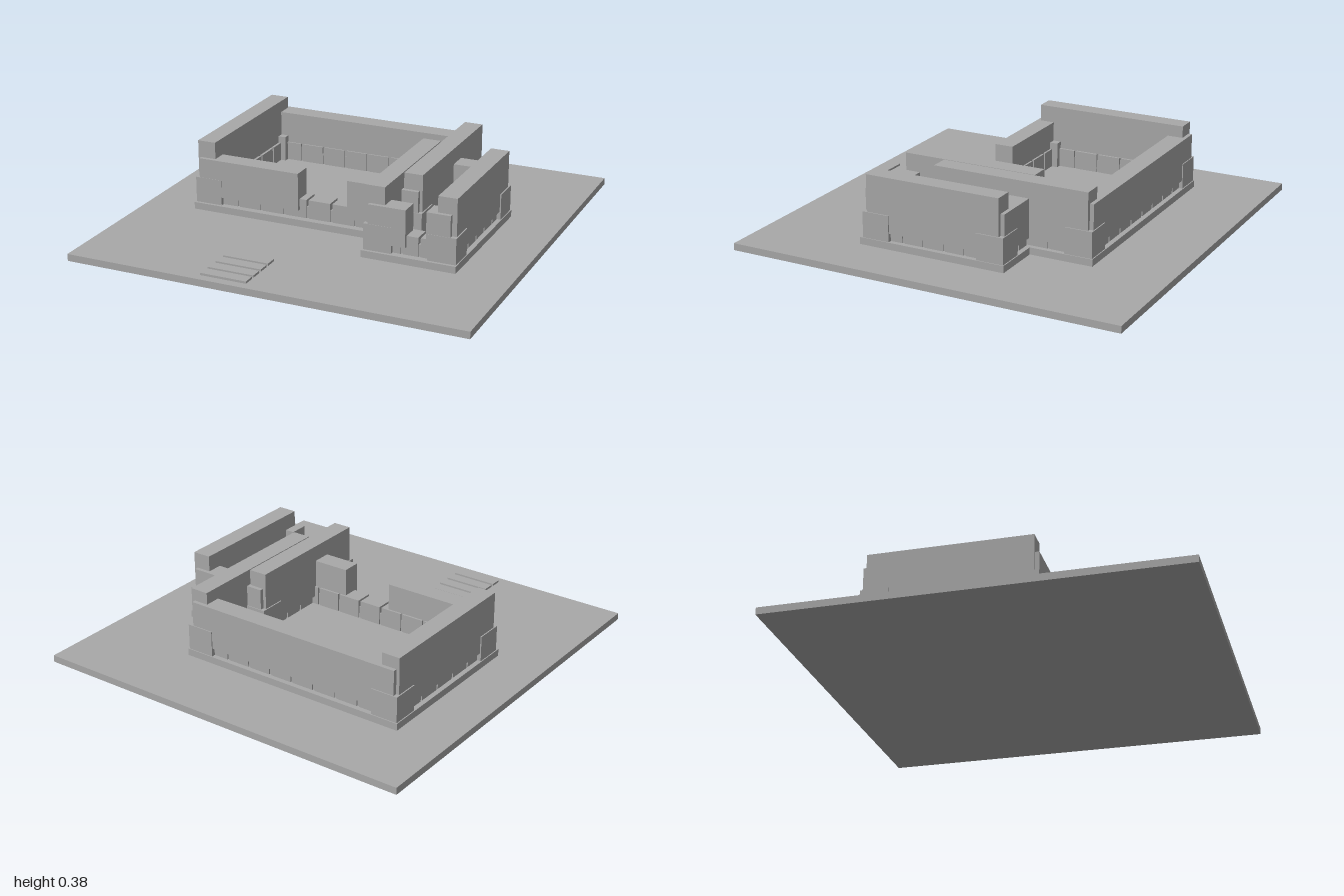
import * as THREE from 'three';

const BASE = 0.035, FLOOR = 0.07, SILL = 0.11;

export function createModel() {
  const model = new THREE.Group();
  const grey = new THREE.MeshStandardMaterial({ color: 0xa8a8a8 });
  grey.name = 'plain grey';

  // Box given by its limits on each axis
  function box(parent, name, x0, x1, y0, y1, z0, z1) {
    const mesh = new THREE.Mesh(new THREE.BoxGeometry(x1 - x0, y1 - y0, z1 - z0), grey);
    mesh.position.set((x0 + x1) / 2, (y0 + y1) / 2, (z0 + z1) / 2);
    mesh.name = name;
    parent.add(mesh);
  }

  // Row of window blocks with narrow, lower and recessed joints between them
  function windowRow(parent, alongX, start, end, near, far, count) {
    const put = (name, a, b, top, inset) => alongX
      ? box(parent, name, a, b, FLOOR, top, near + inset, far - inset)
      : box(parent, name, near + inset, far - inset, FLOOR, top, a, b);
    const pitch = (end - start) / count;
    put('windowJoint', start, end, 0.13, 0.006);
    for (let i = 0; i < count; i++) {
      put('windowBlock', start + i * pitch + 0.006, start + (i + 1) * pitch - 0.006, 0.165, 0);
    }
  }

  // Building: plinth, corner piers, window rows and the walls hung above them
  function building(name, x0, x1, z0, z1, backTop, frontPieces, nx, nz) {
    const g = new THREE.Group();
    g.name = name;
    box(g, 'plinth', x0 - 0.005, x1 + 0.005, BASE, FLOOR, z0 - 0.005, z1 + 0.015);
    const pier = 0.14;
    for (const x of [x0, x1 - pier]) {
      for (const z of [z0, z1 - pier]) {
        box(g, 'cornerPier', x, x + pier, FLOOR, 0.2, z, z + pier);
      }
    }
    const inner = 0.1;
    windowRow(g, true, x0 + inner, x1 - inner, z0 + 0.02, z0 + 0.113, nx);
    windowRow(g, true, x0 + inner, x1 - inner, z1 - 0.108, z1 - 0.02, nx);
    windowRow(g, false, z0 + inner, z1 - inner, x0 + 0.02, x0 + 0.113, nz);
    windowRow(g, false, z0 + inner, z1 - inner, x1 - 0.113, x1 - 0.02, nz);
    // Tall side walls
    box(g, 'sideWall', x0 + 0.006, x0 + 0.1, SILL, 0.385, z0 + 0.025, z1 - 0.022);
    box(g, 'sideWall', x1 - 0.1, x1 - 0.006, SILL, 0.385, z0 + 0.025, z1 - 0.022);
    // Lower back wall and the broken front wall
    box(g, 'backWall', x0 + 0.022, x1 - 0.025, SILL, backTop, z0 + 0.005, z0 + 0.105);
    for (const [a, b, top] of frontPieces) {
      box(g, 'frontWall', a, b, SILL, top, z1 - 0.098, z1 - 0.002);
    }
    model.add(g);
  }

  box(model, 'ground', -1, 1, 0, BASE, -1, 1);

  building('mainBuilding', -0.735, 0.47, -0.61, 0.24, 0.325,
    [[-0.715, -0.175, 0.3], [0.085, 0.45, 0.305]], 8, 5);
  building('sideWing', 0.265, 0.725, -0.29, 0.455, 0.305,
    [[0.287, 0.475, 0.297], [0.577, 0.695, 0.305]], 3, 5);

  // Crossing bars at the front edge
  for (let i = 0; i < 4; i++) {
    const z = 0.68 + i * 0.073;
    box(model, 'crossingBar', -0.32, -0.085, BASE, 0.046, z, z + 0.057);
  }
  return model;
}
